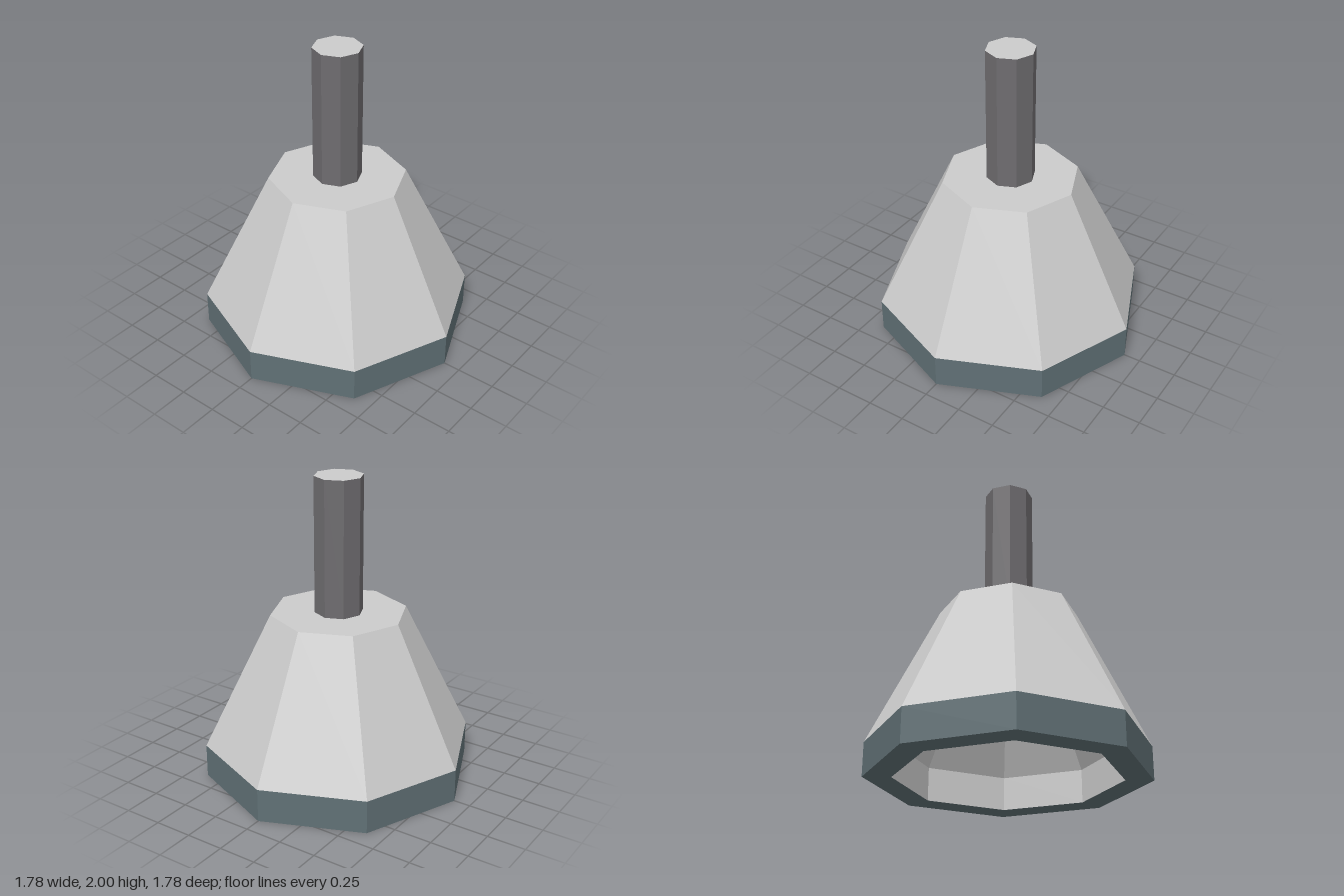
import * as THREE from 'three';

const SIDES = 8;
const grey = new THREE.MeshStandardMaterial({ color: 0xcccccc, flatShading: true });
const teal = new THREE.MeshStandardMaterial({ color: 0x607075, flatShading: true });
const dark = new THREE.MeshStandardMaterial({ color: 0x6e6c6f, flatShading: true });

// Faceted octagonal surface from [radius, height] pairs; ascending profiles face outward
function facetedLathe(name, profile, material) {
  const points = profile.map(([r, y]) => new THREE.Vector2(r, y));
  const geometry = new THREE.LatheGeometry(points, SIDES).toNonIndexed();
  geometry.computeVertexNormals();
  const mesh = new THREE.Mesh(geometry, material);
  mesh.name = name;
  return mesh;
}

export function createModel() {
  const model = new THREE.Group();
  model.name = 'handBell';

  // Bell shell: sloping outside with a flat shoulder
  model.add(facetedLathe('bellShell', [[0.89, 0.22], [0.445, 1.11], [0, 1.11]], grey));

  // Hollow inside: flat ceiling, sloping wall, then a straight lip
  model.add(facetedLathe('bellInside', [[0, 0.89], [0.356, 0.89], [0.712, 0.22], [0.712, 0]], grey));

  // Coloured rim band with its underside
  model.add(facetedLathe('rimBand', [[0.712, 0], [0.89, 0], [0.89, 0.22]], teal));

  // Handle with a pale end face
  model.add(facetedLathe('handle', [[0.158, 1.11], [0.158, 2]], dark));
  model.add(facetedLathe('handleCap', [[0.158, 2], [0, 2]], grey));

  return model;
}
